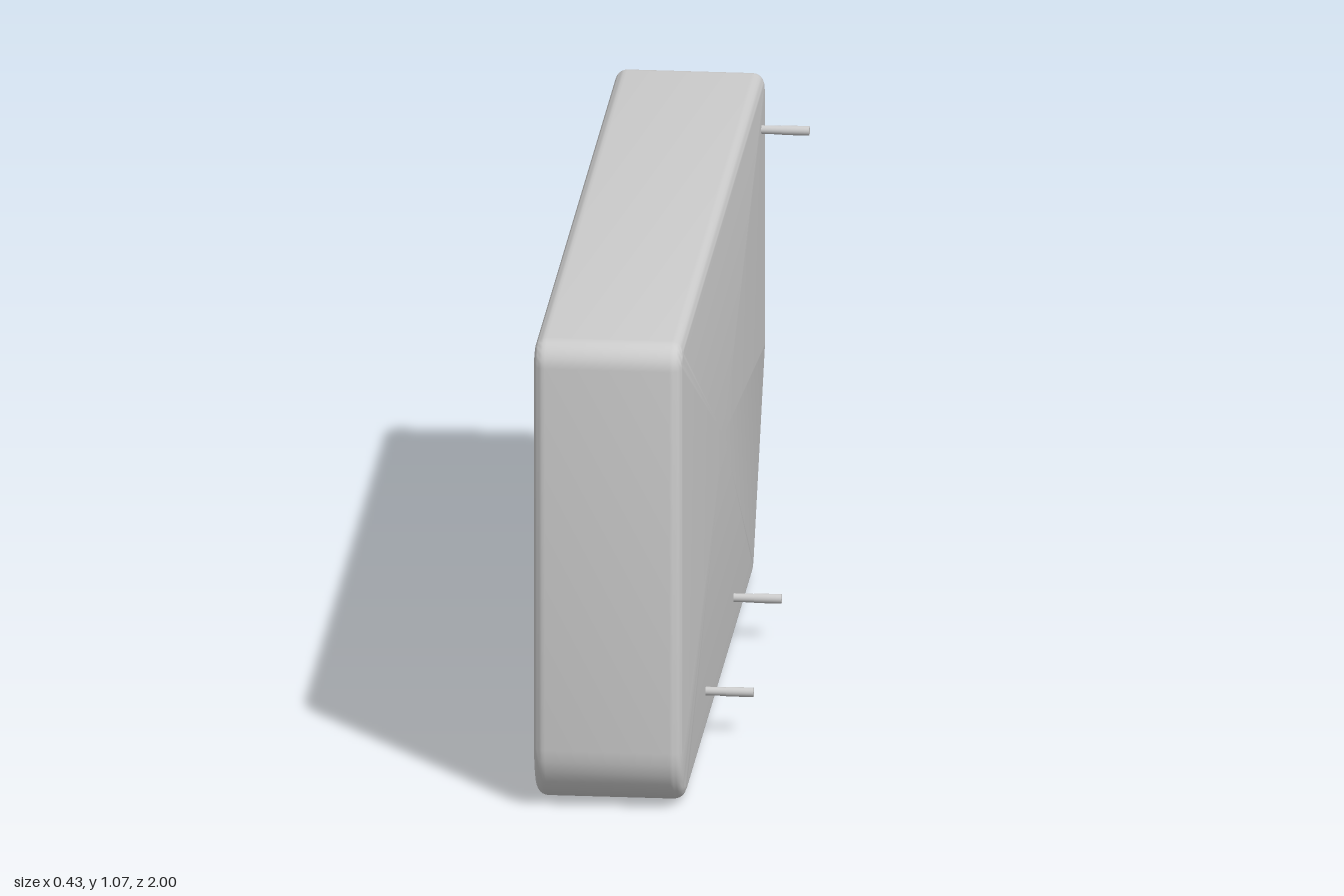
import * as THREE from 'three';
import { toCreasedNormals } from 'three/addons/utils/BufferGeometryUtils.js';

const R = 0.215, L = 0.11;          // outer side planes: x = -R and x = L
const WALL = 0.026;                 // wall thickness and edge rounding
const SLOT = [-0.59, 0.76];         // opening in the bottom, along z

// side outline: z, y, corner radius
const corners = [
  [-0.715, 0, 0.05], [1, 0, 0.14], [1, 1.07, 0.055],
  [-1, 1.07, 0.055], [-1, 0.43, 0.05],
];
const STEPS = 8;
const SLOT_EDGE = STEPS + 1;        // index of the outline edge that is left open

// outline moved inward by a distance
function outline(inset) {
  const pts = [];
  corners.forEach(([z, y, r], i) => {
    const p = corners.at(i - 1), n = corners[(i + 1) % corners.length];
    const a = Math.atan2(y - p[1], z - p[0]) - Math.PI / 2;
    let b = Math.atan2(n[1] - y, n[0] - z) - Math.PI / 2;
    while (b < a) b += 2 * Math.PI;
    const k = r / (1 + Math.cos(b - a));
    const cz = z - (Math.cos(a) + Math.cos(b)) * k;
    const cy = y - (Math.sin(a) + Math.sin(b)) * k;
    for (let s = 0; s <= STEPS; s++) {
      const t = a + (b - a) * s / STEPS;
      pts.push([cz + (r - inset) * Math.cos(t), cy + (r - inset) * Math.sin(t)]);
    }
    if (i === 0) SLOT.forEach((sz) => pts.push([sz, inset]));
  });
  return pts;
}

const ring = (x, inset) => outline(inset).map(([z, y]) => [x, y, z]);

function geometry(tris) {
  const g = new THREE.BufferGeometry();
  g.setAttribute('position', new THREE.Float32BufferAttribute(tris.flat(2), 3));
  return toCreasedNormals(g, 0.6);
}

// skin over rings, closed by a flat fan at both ends, open along the slot
function skin(rings, slotBand) {
  const tris = [];
  const n = rings[0].length;
  const first = rings[0], last = rings.at(-1);
  const c0 = [first[0][0], 0.55, 0], c1 = [last[0][0], 0.55, 0];
  for (let j = 0; j < n; j++) {
    const k = (j + 1) % n;
    tris.push([c0, first[k], first[j]], [last[j], last[k], c1]);
    for (let i = 0; i < rings.length - 1; i++) {
      if (i === slotBand && j === SLOT_EDGE) continue;
      const A = rings[i], B = rings[i + 1];
      tris.push([A[j], A[k], B[k]], [A[j], B[k], B[j]]);
    }
  }
  return geometry(tris);
}

export function createModel() {
  const group = new THREE.Group();
  const mat = new THREE.MeshStandardMaterial({ color: 0xcccccc });
  const add = (geo, name) => {
    const m = new THREE.Mesh(geo, mat);
    m.name = name;
    group.add(m);
    return m;
  };

  // outer shell with rounded side edges
  const N = 6, rings = [];
  for (let s = 0; s <= N; s++) {
    const t = s / N * Math.PI / 2;
    rings.push(ring(L - WALL * (1 - Math.cos(t)), WALL * (1 - Math.sin(t))));
  }
  for (let s = N; s >= 0; s--) {
    const t = s / N * Math.PI / 2;
    rings.push(ring(-R + WALL * (1 - Math.cos(t)), WALL * (1 - Math.sin(t))));
  }
  add(skin(rings, N), 'outerShell');

  // hollow inside, facing inward
  const x0 = -R + WALL, x1 = L - WALL;
  add(skin([ring(x0, WALL), ring(x1, WALL)], 0), 'innerCavity');

  // lip around the bottom opening
  const rim = [[x0, SLOT[0]], [x0, SLOT[1]], [x1, SLOT[1]], [x1, SLOT[0]]];
  const lip = [];
  rim.forEach(([px, pz], i) => {
    const [qx, qz] = rim[(i + 1) % 4];
    const p = [px, 0, pz], q = [qx, 0, qz], P = [px, WALL, pz], Q = [qx, WALL, qz];
    lip.push([q, p, P], [q, P, Q]);
  });
  add(geometry(lip), 'openingLip');

  // mounting pins on the left side, each with a slightly thicker tip
  [[0.96, -0.895], [0.1, -0.237], [0.1, 0.425]].forEach(([y, z]) => {
    const pin = new THREE.Group();
    pin.name = 'mountingPin';
    [[L - 0.02, 0.155, 0.0095], [0.155, 0.215, 0.0105]].forEach(([a, b, r], i) => {
      const m = new THREE.Mesh(new THREE.CylinderGeometry(r, r, b - a, 20), mat);
      m.name = i ? 'pinTip' : 'pinShaft';
      m.rotation.z = Math.PI / 2;
      m.position.set((a + b) / 2, y, z);
      pin.add(m);
    });
    group.add(pin);
  });

  return group;
}
